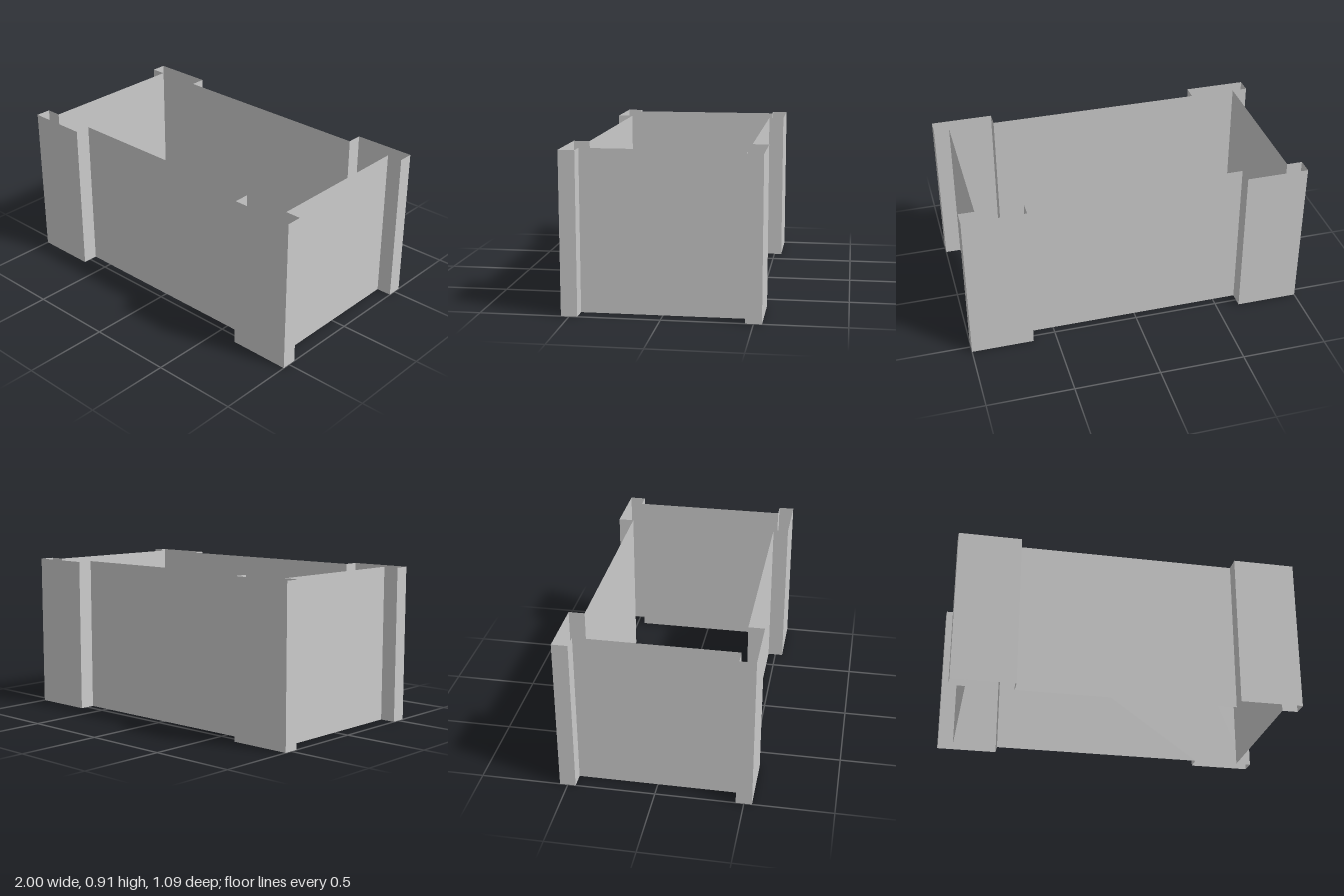
import * as THREE from 'three';

export function createModel() {
  const group = new THREE.Group();
  group.name = 'openCrate';
  const material = new THREE.MeshStandardMaterial({ color: 0xcccccc, flatShading: true, side: THREE.DoubleSide });

  const u = 1 / 11; // depth of the corner steps
  const height = 10 * u;

  // A thin upright panel between two plan points [x, z], facing outward
  function addPanel(name, [x0, z0], [x1, z1]) {
    const panel = new THREE.Mesh(new THREE.PlaneGeometry(Math.hypot(x1 - x0, z1 - z0), height), material);
    panel.name = name;
    panel.position.set((x0 + x1) / 2, height / 2, (z0 + z1) / 2);
    panel.rotation.y = Math.atan2(z0 - z1, x1 - x0);
    group.add(panel);
  }

  // Plan of the front left corner post, from the long wall round to the end wall
  const post = [[7, 5], [7, 6], [11, 6], [11, 5], [10, 5]].map(([x, z]) => [x * u, z * u]);

  // Four corner posts, mirrored, in order round the crate
  const corners = [[1, 1, 'frontLeft'], [1, -1, 'backLeft'], [-1, -1, 'backRight'], [-1, 1, 'frontRight']];
  const posts = corners.map(([sx, sz, name]) => {
    const points = post.map(([x, z]) => [x * sx, z * sz]);
    if (sx * sz < 0) points.reverse(); // keep the same direction round the outline
    for (let i = 0; i < 4; i++) addPanel(name + 'Post', points[i], points[i + 1]);
    return points;
  });

  // Recessed walls joining one post to the next
  ['leftWall', 'backWall', 'rightWall', 'frontWall'].forEach((name, i) =>
    addPanel(name, posts[i][4], posts[(i + 1) % 4][0]));

  return group;
}
